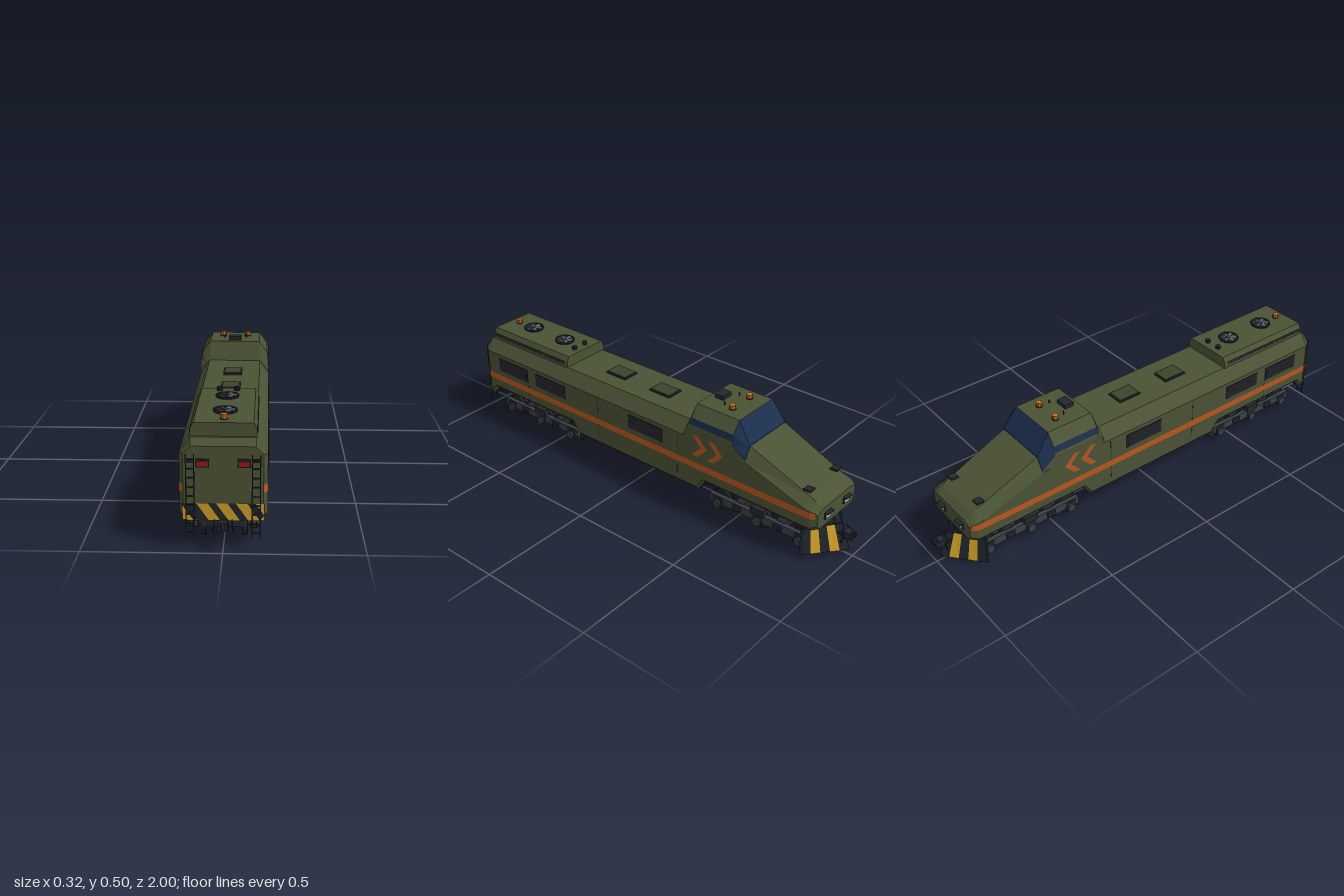
import * as THREE from 'three';

const mat = (color) => new THREE.MeshStandardMaterial({ color, flatShading: true, side: THREE.DoubleSide });
const GREEN = mat(0x4b5335), ORANGE = mat(0xb8561f), YELLOW = mat(0xd0a024), BLUE = mat(0x1b2f4d);
const BLACK = mat(0x23282d), DARK = mat(0x1c242b), STEEL = mat(0x3a3f45), RED = mat(0xa51616);
const AMBER = mat(0xc87018), LAMP = mat(0xd8d4b8), HATCH = mat(0x3d442b);

export function createModel() {
  const root = new THREE.Group();
  const add = (name, geo, m, x = 0, y = 0, z = 0, parent = root) => {
    const mesh = new THREE.Mesh(geo, m);
    mesh.name = name;
    mesh.position.set(x, y, z);
    parent.add(mesh);
    return mesh;
  };
  const box = (name, m, w, h, d, x, y, z, parent) => add(name, new THREE.BoxGeometry(w, h, d), m, x, y, z, parent);
  const cyl = (name, m, r, h, x, y, z, n = 12, parent) => add(name, new THREE.CylinderGeometry(r, r, h, n), m, x, y, z, parent);
  const fromPoints = (pts) => {
    const g = new THREE.BufferGeometry();
    g.setAttribute('position', new THREE.Float32BufferAttribute(pts.flat(), 3));
    g.computeVertexNormals();
    return g;
  };
  const quad = (a, b, c, d) => [a, b, c, a, c, d];
  const flat = (pts) => new THREE.ShapeGeometry(new THREE.Shape(pts.map((p) => new THREE.Vector2(...p))));

  // Skin over mirrored half sections [z, [x, y], ...], given from rear (+z) to nose (-z)
  const loft = (name, m, sections) => {
    const rings = sections.map(([z, ...half]) => [
      ...half.map(([x, y]) => [x, y, z]),
      ...half.slice().reverse().map(([x, y]) => [-x, y, z])]);
    const n = rings[0].length, out = [], last = rings[rings.length - 1];
    for (let k = 0; k + 1 < rings.length; k++)
      for (let i = 0; i < n; i++) {
        const j = (i + 1) % n;
        out.push(...quad(rings[k][i], rings[k + 1][i], rings[k + 1][j], rings[k][j]));
      }
    for (let i = 1; i + 1 < n; i++) {
      out.push(rings[0][0], rings[0][i], rings[0][i + 1]);
      out.push(last[0], last[i + 1], last[i]);
    }
    return add(name, fromPoints(out), m);
  };

  // Body: z, half width, bottom, shoulder, roof half width, roof height
  const body = [
    [0.945, 0.14, 0.1, 0.345, 0.113, 0.372], [0.92, 0.155, 0.105, 0.34, 0.115, 0.397],
    [0.885, 0.155, 0.145, 0.34, 0.115, 0.397], [0.37, 0.155, 0.145, 0.34, 0.115, 0.397],
    [0.335, 0.155, 0.095, 0.34, 0.115, 0.397], [-0.335, 0.155, 0.095, 0.34, 0.115, 0.397],
    [-0.37, 0.155, 0.145, 0.34, 0.115, 0.397], [-0.57, 0.155, 0.145, 0.335, 0.12, 0.392],
    [-0.855, 0.152, 0.14, 0.24, 0.112, 0.275], [-0.88, 0.15, 0.14, 0.236, 0.11, 0.262],
    [-0.908, 0.136, 0.152, 0.222, 0.105, 0.238]];
  loft('body', GREEN, body.map(([z, w, b, s, r, t]) => [z, [w - 0.018, b], [w, b + 0.02], [w, s], [r, t]]));
  loft('underframe', DARK, body.slice(1, -1).map(([z, w, b]) => [z, [w - 0.022, b - 0.003], [w - 0.022, b + 0.01]]));

  // Cab with windscreen and side windows
  const cabFull = [[0.155, 0.33], [0.156, 0.39], [0.148, 0.43], [0.112, 0.48]];
  const cabFront = [[0.154, 0.33], [0.153, 0.342], [0.127, 0.386], [0.121, 0.394]];
  loft('cab', GREEN, [[-0.27, [0.155, 0.33], [0.1555, 0.355], [0.127, 0.388], [0.115, 0.399]],
    [-0.3, ...cabFull], [-0.51, ...cabFull]]);
  loft('cabSill', GREEN, [[-0.51, ...cabFull.slice(0, 2)], [-0.572, ...cabFront.slice(0, 2)]]);
  loft('windscreen', BLUE, [[-0.51, ...cabFull.slice(1)], [-0.572, ...cabFront.slice(1)]]);

  // Rooftop engine hood
  const hood = [[0.117, 0.385], [0.117, 0.425], [0.105, 0.446]];
  loft('engineHood', GREEN, [[0.908, ...hood], [0.43, ...hood]]);

  for (const s of [1, -1]) {
    const side = (name, m, pts, x) => add(name, flat(pts).rotateY(Math.PI / 2), m, s * x);
    add('sideWindow', fromPoints(quad([s * 0.1552, 0.402, -0.297], [s * 0.1552, 0.402, -0.512],
      [s * 0.149, 0.431, -0.512], [s * 0.149, 0.431, -0.303])), BLUE);

    // Waist stripe
    const path = [[0.945, 0.1415], [0.92, 0.1568], [-0.57, 0.1568], [-0.855, 0.1538], [-0.88, 0.1518], [-0.9, 0.1415]];
    const stripe = [];
    for (let i = 0; i + 1 < path.length; i++) {
      const [z0, x0] = path[i], [z1, x1] = path[i + 1];
      stripe.push(...quad([s * x0, 0.204, z0], [s * x1, 0.204, z1], [s * x1, 0.233, z1], [s * x0, 0.233, z0]));
    }
    add('waistStripe', fromPoints(stripe), ORANGE);

    // Chevrons pointing to the nose
    for (const u of [0.312, 0.392])
      side('chevron', ORANGE, [[u, 0.36], [u + 0.03, 0.36], [u + 0.076, 0.313], [u + 0.03, 0.265],
        [u, 0.265], [u + 0.046, 0.313]], 0.1575);

    // Side grilles with slats, panel seams, hood vents
    for (const z of [0.752, 0.508, -0.058]) {
      box('sideGrille', BLACK, 0.004, 0.064, 0.188, s * 0.1555, 0.29, z);
      for (let i = 0; i < 6; i++) box('grilleSlat', STEEL, 0.004, 0.004, 0.172, s * 0.157, 0.266 + i * 0.0096, z);
    }
    for (const z of [0.655, 0.215, -0.235]) box('panelSeam', BLACK, 0.001, 0.19, 0.002, s * 0.1552, 0.24, z);
    box('hoodVent', BLACK, 0.003, 0.014, 0.45, s * 0.1175, 0.415, 0.675);
    for (let i = 0; i < 30; i++) box('ventFin', HATCH, 0.003, 0.014, 0.004, s * 0.1183, 0.415, 0.46 + i * 0.0148);

    // Rear ladder
    for (const x of [0.101, 0.129]) box('ladderRail', BLACK, 0.004, 0.3, 0.004, s * x, 0.195, 0.957);
    for (let i = 0; i < 9; i++) box('ladderRung', BLACK, 0.028, 0.004, 0.004, s * 0.115, 0.06 + i * 0.0335, 0.957);
    for (const y of [0.13, 0.32]) box('ladderBracket', BLACK, 0.028, 0.004, 0.02, s * 0.115, y, 0.949);

    // Lights and nose fittings
    box('tailLightFrame', BLACK, 0.046, 0.03, 0.01, s * 0.072, 0.312, 0.947);
    box('tailLight', RED, 0.036, 0.019, 0.006, s * 0.072, 0.311, 0.951);
    box('headlightFrame', BLACK, 0.042, 0.028, 0.01, s * 0.068, 0.195, -0.908);
    box('headlight', LAMP, 0.032, 0.019, 0.006, s * 0.068, 0.195, -0.912);
    box('headlightVisor', BLACK, 0.044, 0.004, 0.022, s * 0.068, 0.21, -0.914);
    box('noseMarker', BLACK, 0.032, 0.008, 0.034, s * 0.095, 0.293, -0.835).rotation.x = 0.1;
    box('noseMarkerStem', BLACK, 0.01, 0.03, 0.01, s * 0.095, 0.28, -0.835);

    // Roof fittings in pairs
    cyl('exhaust', BLACK, 0.011, 0.018, s * 0.033, 0.452, 0.465, 8);
    cyl('cabBeaconBase', BLACK, 0.015, 0.004, s * 0.057, 0.482, -0.435, 8);
    cyl('cabBeacon', AMBER, 0.013, 0.018, s * 0.057, 0.491, -0.435, 8);
    cyl('antenna', BLACK, 0.003, 0.016, s * 0.05, 0.487, -0.39, 6);

    // Coupler hoses at both ends
    for (const e of [1, -1]) {
      const hose = new THREE.CatmullRomCurve3([[0.03, 0.105, 0.94], [0.032, 0.095, 0.965], [0.036, 0.065, 0.962]]
        .map(([x, y, z]) => new THREE.Vector3(s * x, y, e * z)));
      add('brakeHose', new THREE.TubeGeometry(hose, 6, 0.003, 5), BLACK);
    }

    // Striped half of the plough, apex to outer edge
    const lerp = (a, b, t) => a.map((v, i) => v + (b[i] - v) * t);
    const top = (t, dz = 0) => lerp([0, 0.13, -0.942 + dz], [s * 0.138, 0.13, -0.845 + dz], t);
    const low = (t, dz = 0) => lerp([0, 0.022, -0.985 + dz], [s * 0.153, 0.022, -0.858 + dz], t);
    for (let i = 0; i < 5; i++)
      add('ploughStripe', fromPoints(quad(top(i / 5), top((i + 1) / 5), low((i + 1) / 5), low(i / 5))), i % 2 ? YELLOW : DARK);
    add('ploughBacking', fromPoints([...quad(top(0, 0.008), top(1, 0.008), low(1, 0.008), low(0, 0.008)),
      ...quad(low(0), low(1), low(1, 0.008), low(0, 0.008)),
      ...quad(top(0), top(1), top(1, 0.008), top(0, 0.008))]), DARK);
  }

  // Rear hazard panel
  add('hazardPanel', flat([[-0.143, 0.103], [0.143, 0.103], [0.143, 0.165], [-0.143, 0.165]]), DARK, 0, 0, 0.9465);
  const bars = [[[-0.143, 0.158], [-0.105, 0.103], [-0.143, 0.103]], [[0.113, 0.165], [0.143, 0.165], [0.143, 0.122]],
    [[0.128, 0.103], [0.143, 0.103], [0.143, 0.122], [0.113, 0.165], [0.099, 0.143]].slice(0, 3)];
  for (const x of [-0.094, -0.025, 0.044]) bars.push([[x, 0.165], [x + 0.04, 0.165], [x + 0.083, 0.103], [x + 0.043, 0.103]]);
  for (const b of bars) add('hazardBar', flat(b), YELLOW, 0, 0, 0.948);

  // Roof hatches, cab unit and hood beacon
  for (const z of [-0.04, 0.21]) {
    box('roofHatchFrame', BLACK, 0.08, 0.008, 0.11, 0, 0.4, z);
    box('roofHatch', HATCH, 0.068, 0.008, 0.098, 0, 0.402, z);
  }
  box('cabRoofUnit', BLACK, 0.056, 0.018, 0.042, 0, 0.489, -0.345);
  cyl('hoodBeaconBase', BLACK, 0.015, 0.004, 0, 0.447, 0.86, 8);
  cyl('hoodBeacon', AMBER, 0.013, 0.018, 0, 0.456, 0.86, 8);

  // Cooling fans
  for (const z of [0.56, 0.762]) {
    cyl('fanWell', BLACK, 0.043, 0.006, 0, 0.448, z, 20);
    add('fanRim', new THREE.TorusGeometry(0.042, 0.004, 6, 20).rotateX(Math.PI / 2), BLACK, 0, 0.452, z);
    cyl('fanHub', STEEL, 0.01, 0.008, 0, 0.452, z, 10);
    for (let i = 0; i < 6; i++) {
      const blade = new THREE.BoxGeometry(0.026, 0.002, 0.014).rotateX(0.3).translate(0.023, 0, 0).rotateY(i * Math.PI / 3);
      add('fanBlade', blade, mat(0x5a636c), 0, 0.453, z);
    }
  }

  // Couplers
  for (const e of [1, -1]) {
    box('couplerShank', BLACK, 0.02, 0.02, 0.08, 0, 0.093, e * 0.935);
    box('couplerHead', BLACK, 0.036, 0.03, 0.026, 0, 0.093, e * 0.972);
    for (const s of [1, -1]) box('couplerJaw', BLACK, 0.01, 0.024, 0.018, s * 0.012, 0.093, e * 0.991);
  }

  // Three-axle bogies
  for (const [zc, pitch] of [[0.628, 0.198], [-0.62, 0.2]]) {
    const bogie = new THREE.Group();
    bogie.name = 'bogie';
    bogie.position.z = zc;
    root.add(bogie);
    cyl('bogiePivot', DARK, 0.04, 0.06, 0, 0.115, 0, 12, bogie);
    for (const z of [-0.1, 0.1]) box('bogieCrossbeam', BLACK, 0.2, 0.035, 0.04, 0, 0.07, z, bogie);
    for (const e of [1, -1]) box('bogieEndBeam', BLACK, 0.136, 0.03, 0.015, 0, 0.065, e * 0.24, bogie);
    for (const s of [1, -1]) {
      box('sideFrame', STEEL, 0.02, 0.036, 0.48, s * 0.105, 0.068, 0, bogie);
      box('springBox', BLACK, 0.026, 0.03, 0.064, s * 0.108, 0.098, 0, bogie);
      for (const z of [-0.1, 0.1]) box('brakeCylinder', BLACK, 0.012, 0.02, 0.04, s * 0.117, 0.07, z, bogie);
    }
    for (const k of [-1, 0, 1]) {
      const z = k * pitch;
      const round = (name, m, r, h, x, n) => { cyl(name, m, r, h, x, 0.05, z, n, bogie).rotation.z = Math.PI / 2; };
      round('axle', STEEL, 0.012, 0.22, 0, 8);
      for (const s of [1, -1]) {
        round('wheel', BLACK, 0.046, 0.015, s * 0.076, 20);
        round('wheelFlange', BLACK, 0.05, 0.004, s * 0.068, 20);
        round('axleBox', STEEL, 0.019, 0.016, s * 0.117, 10);
        box('axleGuide', BLACK, 0.024, 0.045, 0.05, s * 0.105, 0.058, z, bogie);
      }
    }
  }
  return root;
}
